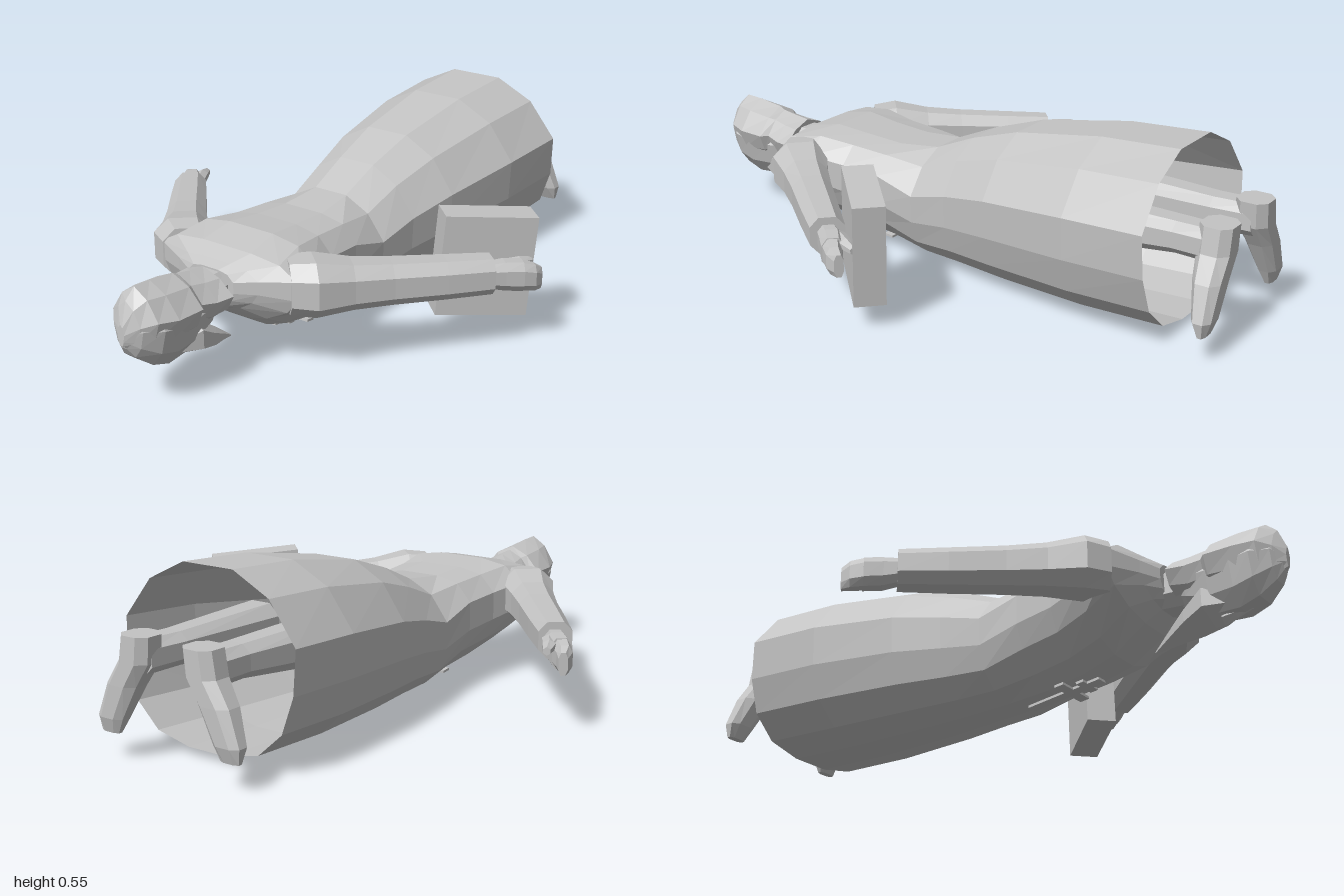
import * as THREE from 'three';

const stone = new THREE.MeshStandardMaterial({ color: 0xc4c4c4, flatShading: true, side: THREE.DoubleSide });
stone.name = 'grey stone';

const V = (x, y, z) => new THREE.Vector3(x, y, z);
const X = V(1, 0, 0), Y = V(0, 1, 0), Z = V(0, 0, 1);

// Full outline from its right half, running from top to bottom
const mirrored = half => [...half, ...half.filter(p => p[0] > 0).reverse().map(([x, y]) => [-x, y])];

// Outline placed in space: x is -1..1 across side, y is 0..1 from bottom to top
const ring = (c, side, up, outline, w, h) => outline.map(([x, y]) =>
  c.clone().addScaledVector(side, x * w).addScaledVector(up, (y * 2 - 1) * h));

// Skin over a row of rings; ends are closed with flat fans
function loft(name, rings, capStart = true, capEnd = true) {
  const pos = [], n = rings[0].length;
  const tri = (...ps) => ps.forEach(p => pos.push(p.x, p.y, p.z));
  for (let i = 0; i < rings.length - 1; i++) {
    for (let j = 0; j < n; j++) {
      const k = (j + 1) % n, a = rings[i][j], b = rings[i][k], c = rings[i + 1][k], d = rings[i + 1][j];
      tri(a, c, b);
      tri(a, d, c);
    }
  }
  const cap = (r, flip) => {
    for (let j = 1; j < n - 1; j++) flip ? tri(r[0], r[j + 1], r[j]) : tri(r[0], r[j], r[j + 1]);
  };
  if (capStart) cap(rings[0], false);
  if (capEnd) cap(rings[rings.length - 1], true);
  const g = new THREE.BufferGeometry();
  g.setAttribute('position', new THREE.Float32BufferAttribute(pos, 3));
  g.computeVertexNormals();
  const m = new THREE.Mesh(g, stone);
  m.name = name;
  return m;
}

// Rows of [z, halfWidth, top, bottom] along the body axis
const axial = (rows, outline) => rows.map(([z, w, t, b]) =>
  ring(V(0, (t + b) / 2, z), X, Y, outline, w, (t - b) / 2));

const skirt = mirrored([[.29, 1], [.7, .88], [1, .65], [.98, .4], [.86, .19], [.6, .05], [.22, 0]]);
const chest = mirrored([[.35, 1], [.75, .95], [1, .78], [1, .5], [.85, .28], [.55, .09], [.22, 0]]);
const skull = mirrored([[0, 1], [.55, .84], [1, .52], [.8, .2], [.4, 0]]);
const oct = mirrored([[.5, 1], [1, .75], [1, .25], [.5, 0]]);
const hex = mirrored([[0, 1], [1, .72], [1, .28], [0, 0]]);

// Limb rows of [x, y, z, halfWidth, halfHeight], facing along (dx, dz)
function limb(name, rows, dx, dz, s, outline = oct) {
  const side = Y.clone().cross(V(dx * s, 0, dz).normalize());
  return loft(name, rows.map(([x, y, z, w, h]) => ring(V(x * s, y, z), side, Y, outline, w, h)));
}

function makeBody() {
  const g = new THREE.Group();
  g.name = 'robe';
  const lower = axial([
    [-.82, .315, .555, .03], [-.55, .302, .54, .017], [-.25, .258, .49, .015],
    [-.08, .222, .435, .018], [.06, .205, .375, .022]], skirt);
  const upper = axial([
    [.2, .2, .362, .03], [.33, .208, .37, .048], [.45, .235, .382, .08],
    [.56, .258, .36, .15], [.605, .15, .335, .19], [.635, .085, .32, .2]], chest);
  // The hem slants: its back edge sits slightly higher than its front edge
  lower[0].forEach(p => { p.z = -.83 + (p.y - .03) * .045; });
  g.add(loft('robeBody', [...lower, ...upper], false, true));
  g.add(loft('neck', axial([[.6, .065, .315, .19], [.7, .065, .315, .18]], oct)));
  return g;
}

function makeHead() {
  const g = new THREE.Group();
  g.name = 'head';
  g.add(loft('face', axial([
    [.66, .055, .31, .19], [.7, .075, .33, .16], [.78, .085, .35, .125], [.86, .095, .365, .12],
    [.92, .09, .365, .14], [.97, .055, .34, .18], [.99, .025, .3, .21]], skull)));
  g.add(loft('hair', axial([
    [.665, .112, .335, .2], [.72, .1, .342, .19], [.77, .088, .35, .2], [.79, .11, .36, .19],
    [.88, .106, .372, .18], [.94, .085, .375, .19], [.975, .05, .345, .2], [1, .012, .285, .22]], skull)));
  g.add(loft('beard', axial([
    [.82, .05, .19, .122], [.76, .08, .23, .1], [.69, .062, .175, .09], [.62, .03, .125, .08],
    [.56, .004, .078, .07]].reverse(), hex)));
  g.add(loft('nose', axial([
    [.79, .022, .16, .098], [.83, .014, .16, .108], [.88, .01, .16, .125]], hex)));
  return g;
}

function makeArm(s) {
  const g = new THREE.Group();
  g.name = s > 0 ? 'leftArm' : 'rightArm';
  g.add(limb('sleeve', [
    [.19, .275, .52, .075, .08], [.25, .275, .475, .088, .085], [.32, .268, .39, .07, .07],
    [.395, .263, .3, .062, .064], [.5, .257, .175, .058, .06], [.592, .253, .065, .052, .056]], .67, -.74, s));
  g.add(limb('palm', [
    [.575, .25, .085, .03, .035], [.615, .243, .03, .036, .045], [.655, .238, -.01, .034, .046]], .7, -.7, s));
  g.add(limb('fingers', [
    [.652, .238, -.005, .03, .045], [.68, .23, -.035, .024, .042], [.69, .222, -.06, .014, .034]], .6, -.8, s));
  g.add(limb('thumb', [
    [.595, .262, .02, .02, .02], [.628, .262, -.035, .02, .02], [.645, .258, -.078, .011, .013]], .4, -.9, s, hex));
  return g;
}

function makeLeg(s) {
  const g = new THREE.Group();
  g.name = s > 0 ? 'leftLeg' : 'rightLeg';
  g.add(limb('shin', [
    [.125, .3, -.45, .07, .07], [.115, .315, -.83, .056, .048], [.12, .315, -.96, .052, .05]], 0, -1, s));
  // Foot stacked from the toe up to the heel, turned outward
  const rows = [[.222, .085, -.972, .032, .012], [.215, .13, -.968, .047, .03], [.17, .23, -.957, .055, .043],
    [.125, .3, -.95, .055, .05], [.115, .378, -.95, .052, .05]];
  g.add(loft('foot', rows.map(([x, y, z, w, d]) => ring(V(x * s, y, z), Z, X, oct, d, w))));
  return g;
}

function box(name, w, h, d, x, y, z) {
  const m = new THREE.Mesh(new THREE.BoxGeometry(w, h, d), stone);
  m.name = name;
  m.position.set(x, y, z);
  return m;
}

// Pendant lying along the chest
function makePendant() {
  const g = new THREE.Group();
  g.name = 'pendant';
  g.add(box('upright', .036, .008, .26, 0, 0, 0));
  g.add(box('longBar', .14, .008, .032, 0, 0, .02));
  g.add(box('shortBar', .08, .008, .026, 0, 0, .075));
  g.position.set(0, .023, .24);
  g.rotation.x = -.115;
  return g;
}

export function createModel() {
  const model = new THREE.Group();
  model.name = 'robedFigure';
  model.add(makeBody(), makeHead(), makePendant());
  for (const s of [1, -1]) model.add(makeArm(s), makeLeg(s));

  // Book held against the left hand
  const book = box('book', .285, .318, .096, .519, .248, -.01);
  book.rotation.set(0, Math.PI / 4 + .02, -.085);
  model.add(book);
  return model;
}
